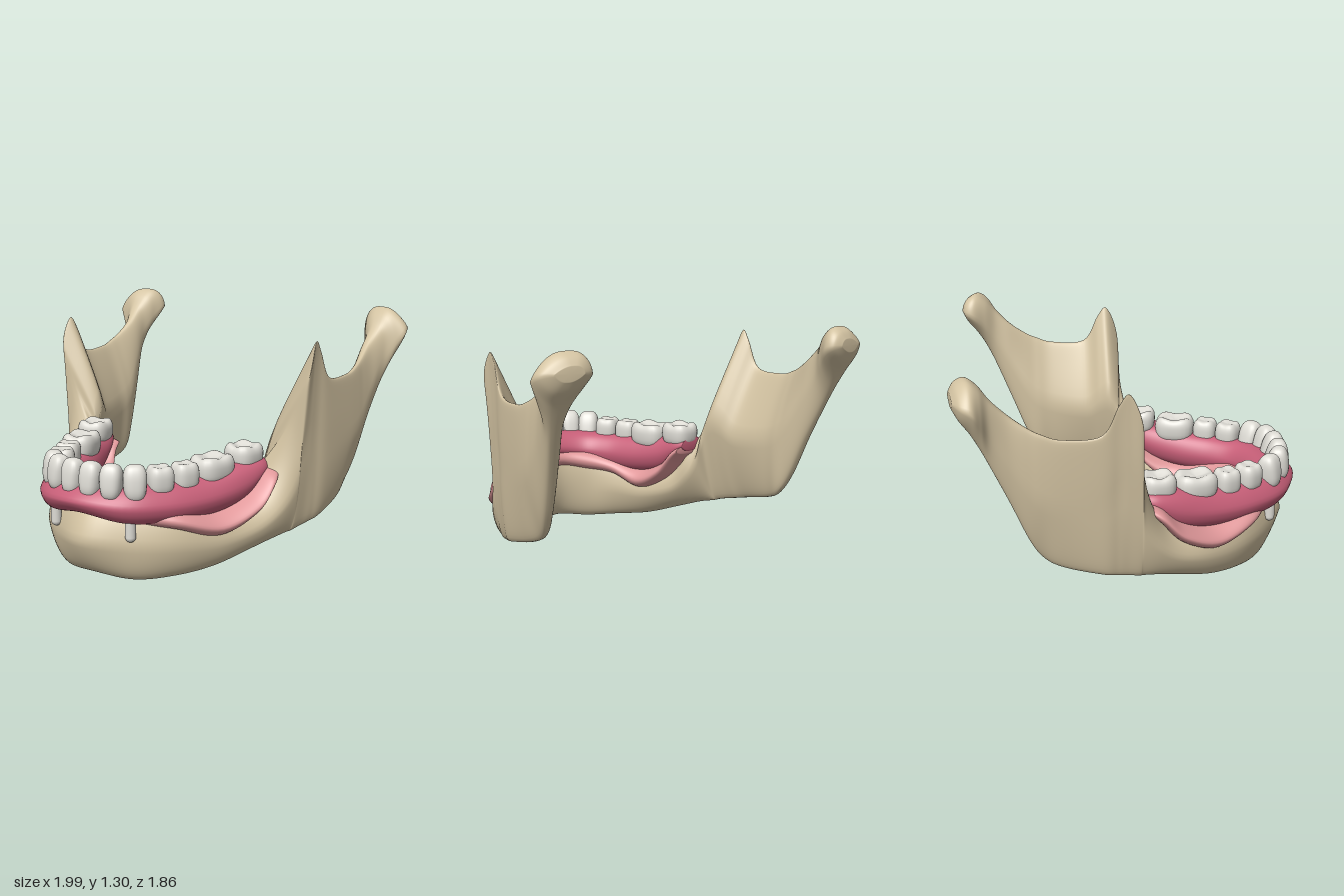
import * as THREE from 'three';

const mat = (name, color) => Object.assign(new THREE.MeshStandardMaterial({ color }), { name });
const RAD = Math.PI / 180;
const pow = (v, e) => Math.sign(v) * Math.abs(v) ** e;

// Arch stations run from the middle of the chin to the model's left:
// x, z, outward angle, bottom y, top y, bottom shift, top shift, half widths at bottom, middle, top
const BODY = [
  [0, 0.745, 90, 0.02, 0.42, -0.03, -0.03, 0.085, 0.122, 0.085],
  [0.2, 0.665, 68, 0.0, 0.41, -0.01, -0.02, 0.085, 0.1, 0.075],
  [0.35, 0.53, 45, 0.015, 0.38, 0, 0, 0.08, 0.11, 0.09],
  [0.46, 0.36, 30, 0.045, 0.33, 0.01, 0, 0.08, 0.115, 0.1],
  [0.56, 0.18, 22, 0.11, 0.36, 0.02, -0.02, 0.08, 0.12, 0.1],
  [0.62, 0.07, 14, 0.15, 0.5, 0.035, -0.03, 0.07, 0.125, 0.1],
];
const RAMUS = [
  [0.655, 0, 6, 0.168, 0.73, 0.04, 0.06, 0.065, 0.125, 0.045],
  [0.68, -0.015, 3, 0.175, 1.03, 0.035, 0.14, 0.06, 0.11, 0.015],
  [0.692, -0.07, 0, 0.19, 1.19, 0.045, 0.13, 0.055, 0.11, 0.014],
  [0.71, -0.125, 0, 0.202, 1.14, 0.045, 0.11, 0.055, 0.1, 0.016],
  [0.742, -0.21, 0, 0.222, 0.99, 0.035, 0.085, 0.052, 0.09, 0.022],
  [0.78, -0.4, 0, 0.27, 0.98, -0.005, 0.06, 0.05, 0.076, 0.026],
  [0.79, -0.5, 0, 0.32, 1.01, -0.03, 0.05, 0.05, 0.076, 0.03],
  [0.798, -0.57, 0, 0.43, 1.045, -0.02, 0.035, 0.05, 0.072, 0.035],
  [0.815, -0.66, 0, 0.65, 1.11, -0.01, 0.01, 0.048, 0.062, 0.045],
  [0.835, -0.74, 2, 0.84, 1.19, 0.005, 0, 0.045, 0.064, 0.065],
  [0.85, -0.79, 8, 0.95, 1.26, 0.01, -0.02, 0.055, 0.105, 0.1],
  [0.853, -0.84, 12, 1.04, 1.295, 0.02, -0.03, 0.075, 0.142, 0.105],
  [0.853, -0.89, 12, 1.11, 1.275, 0.02, -0.03, 0.08, 0.125, 0.085],
  [0.85, -0.92, 12, 1.165, 1.235, 0.01, -0.02, 0.04, 0.07, 0.045],
];
const GUM = [
  [0, 0.78, 90, 0.36, 0.53, -0.01, -0.02, 0.125, 0.147, 0.095],
  [0.2, 0.72, 66, 0.325, 0.525, 0, -0.01, 0.12, 0.137, 0.095],
  [0.33, 0.57, 42, 0.315, 0.52, 0, -0.01, 0.115, 0.125, 0.09],
  [0.42, 0.38, 27, 0.315, 0.53, 0, -0.01, 0.11, 0.122, 0.095],
  [0.49, 0.2, 17, 0.35, 0.56, 0, 0, 0.105, 0.116, 0.1],
  [0.52, 0.08, 12, 0.43, 0.575, 0, 0, 0.095, 0.108, 0.1],
  [0.53, 0.015, 10, 0.5, 0.57, 0, 0, 0.07, 0.085, 0.07],
];
const LINING = [
  [0, 0.7, 90, 0.335, 0.43, 0, 0, 0.08, 0.087, 0.08],
  [0.18, 0.642, 66, 0.31, 0.42, 0, 0, 0.1, 0.105, 0.09],
  [0.345, 0.54, 42, 0.283, 0.39, 0, 0, 0.135, 0.142, 0.12],
  [0.45, 0.36, 27, 0.22, 0.345, 0, -0.01, 0.15, 0.16, 0.13],
  [0.52, 0.19, 17, 0.3, 0.41, 0, -0.01, 0.165, 0.175, 0.145],
  [0.55, 0.09, 12, 0.42, 0.505, 0, 0, 0.155, 0.163, 0.15],
  [0.545, 0.025, 10, 0.48, 0.53, 0, 0, 0.13, 0.142, 0.13],
];

// Lofts upright rounded sections along a mirrored arch
function archLoft(half, seg = 7, ring = 48) {
  const mirrored = half.slice(1).reverse().map(([x, z, a, ...rest]) => [-x, z, 180 - a, ...rest]);
  const st = [...mirrored, ...half];
  const at = (i) => st[Math.min(st.length - 1, Math.max(0, i))];
  const sample = (u) => {
    const i = Math.min(Math.floor(u), st.length - 2), t = u - i;
    const [a, b, c, d] = [at(i - 1), at(i), at(i + 1), at(i + 2)];
    return b.map((v, k) => 0.5 * (2 * v + (c[k] - a[k]) * t
      + (2 * a[k] - 5 * v + 4 * c[k] - d[k]) * t * t + (3 * v - a[k] - 3 * c[k] + d[k]) * t * t * t));
  };
  const pos = [], idx = [], n = (st.length - 1) * seg;
  for (let j = 0; j <= n; j++) {
    const [x, z, ang, yb, yt, dB, dT, wB, wM, wT] = sample(j / seg);
    for (let i = 0; i < ring; i++) {
      const a = (i / ring) * Math.PI * 2;
      const s = pow(Math.sin(a), 0.85), k = Math.abs(s) ** 1.1;
      const shift = (s < 0 ? dB : dT) * k;
      const width = wM + ((s < 0 ? wB : wT) - wM) * k;
      const off = shift + width * pow(Math.cos(a), 0.68);
      pos.push(x + Math.cos(ang * RAD) * off, (yb + yt) / 2 + s * (yt - yb) / 2, z + Math.sin(ang * RAD) * off);
    }
  }
  for (let j = 0; j < n; j++) for (let i = 0; i < ring; i++) {
    const a = j * ring + i, b = j * ring + (i + 1) % ring;
    idx.push(a, a + ring, b + ring, a, b + ring, b);
  }
  // Closed ends
  for (const [j, last] of [[0, false], [n, true]]) {
    const [x, z, , yb, yt] = sample(j / seg), c = pos.length / 3;
    pos.push(x, (yb + yt) / 2, z);
    for (let i = 0; i < ring; i++) {
      const a = j * ring + i, b = j * ring + (i + 1) % ring;
      idx.push(c, last ? b : a, last ? a : b);
    }
  }
  const g = new THREE.BufferGeometry();
  g.setAttribute('position', new THREE.Float32BufferAttribute(pos, 3));
  g.setIndex(idx);
  g.computeVertexNormals();
  return g;
}

// Squared-off rounded crown: biting edge for front teeth, cusps and a hollow for molars
function toothGeometry(w, d, y0, y1, cusp) {
  const g = new THREE.SphereGeometry(1, 32, 22), p = g.attributes.position;
  for (let i = 0; i < p.count; i++) {
    const u = p.getX(i), v = p.getY(i), s = p.getZ(i);
    const r = Math.hypot(u, s), th = Math.atan2(s, u), t = (pow(v, 0.8) + 1) / 2;
    const square = (Math.abs(Math.cos(th)) ** 3 + Math.abs(Math.sin(th)) ** 3) ** (-1 / 3);
    const size = r > 1e-4 ? square * r ** -0.35 : 1;
    let y = y0 + t * (y1 - y0), x = u * size * w / 2, z = s * size * d / 2;
    if (cusp) {
      const taper = 0.92 + 0.1 * t;
      x *= taper;
      z *= taper;
      if (v > 0) y -= cusp * v * (0.04 * Math.exp(-r * r * 5) + 0.008 * Math.cos(4 * th) * Math.min(1, r * 1.6));
    } else {
      x *= 0.88 + 0.16 * t;
      z = z * (1.12 - 0.45 * t) + 0.015 * t;
    }
    p.setXYZ(i, x, y, z);
  }
  g.computeVertexNormals();
  return g;
}

export function createModel() {
  const model = new THREE.Group();
  model.name = 'lowerJawWithDenture';
  const bone = mat('bone', 0xd3c3a2), gum = mat('gumPink', 0xc75f78);
  const lining = mat('liningPink', 0xe0989a), enamel = mat('enamel', 0xdedcd5);
  const add = (name, geometry, material, x = 0, y = 0, z = 0) => {
    const m = new THREE.Mesh(geometry, material);
    m.name = name;
    m.position.set(x, y, z);
    model.add(m);
    return m;
  };

  add('jawBone', archLoft([...BODY, ...RAMUS]), bone);
  add('dentureLining', archLoft(LINING), lining);
  add('dentureGum', archLoft(GUM), gum);

  // Teeth: name, x, z, outward angle, width, depth, bottom, top, cusp strength
  const teeth = [
    ['centralIncisor', 0.056, 0.818, 86, 0.118, 0.145, 0.45, 0.642, 0],
    ['lateralIncisor', 0.162, 0.797, 70, 0.118, 0.145, 0.45, 0.64, 0],
    ['canine', 0.252, 0.73, 50, 0.125, 0.15, 0.44, 0.635, 0],
    ['firstPremolar', 0.322, 0.612, 36, 0.14, 0.145, 0.45, 0.622, 0.5],
    ['secondPremolar', 0.385, 0.485, 25, 0.14, 0.14, 0.45, 0.622, 0.5],
    ['firstMolar', 0.435, 0.308, 14, 0.235, 0.195, 0.46, 0.635, 1],
    ['secondMolar', 0.5, 0.1, 10, 0.195, 0.185, 0.5, 0.662, 1],
  ];
  for (const side of [1, -1]) {
    const label = side > 0 ? 'left' : 'right';
    for (const [name, x, z, ang, w, d, y0, y1, cusp] of teeth) {
      add(`${label} ${name}`, toothGeometry(w, d, y0, y1, cusp), enamel, side * x, 0, z)
        .rotation.y = side * (90 - ang) * RAD;
    }
    // Implant post under the denture
    add(`${label} implantPost`, new THREE.CapsuleGeometry(0.028, 0.1, 8, 20), enamel, side * 0.243, 0.31, 0.757);
  }
  return model;
}
